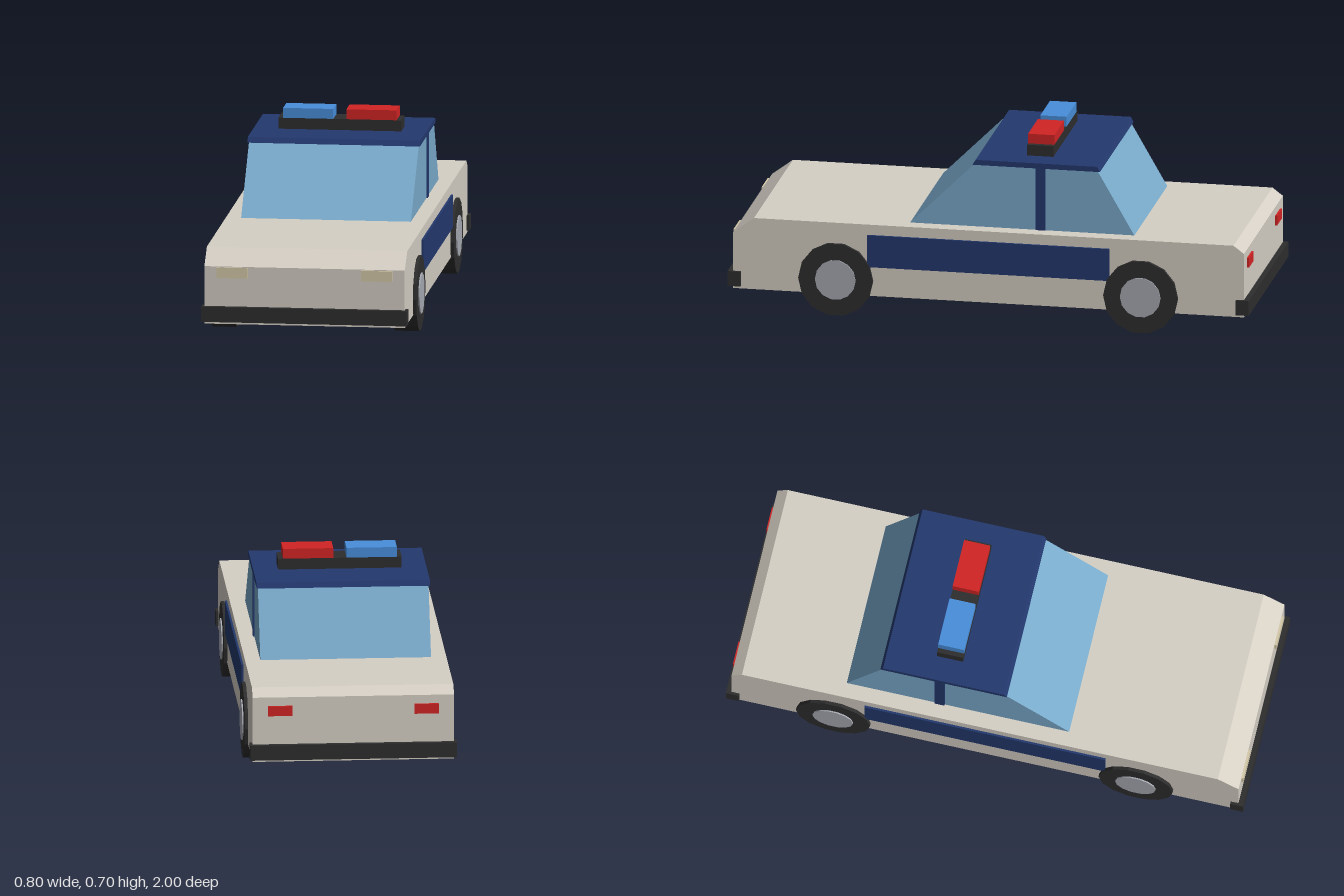
import * as THREE from 'three';

const mat = (name, color) => {
  const m = new THREE.MeshStandardMaterial({ color });
  m.name = name;
  return m;
};

export function createModel() {
  const car = new THREE.Group();
  car.name = 'patrolCar';

  const cream = mat('creamPaint', 0xd6d0c5);
  const navy = mat('navyPaint', 0x23386e);
  const glass = mat('windowGlass', 0x7aabcc);
  const black = mat('blackRubber', 0x2e2e2e);
  const steel = mat('hubSteel', 0xa8abb4);
  const lampCream = mat('headlightCream', 0xd6caa8);
  const red = mat('redLamp', 0xd32424);
  const blue = mat('blueLamp', 0x488edb);

  const add = (name, geometry, material) => {
    const mesh = new THREE.Mesh(geometry, material);
    mesh.name = name;
    car.add(mesh);
    return mesh;
  };

  // Box given by its limits on each axis
  const box = (name, material, [x0, x1], [y0, y1], [z0, z1]) =>
    add(name, new THREE.BoxGeometry(x1 - x0, y1 - y0, z1 - z0), material)
      .position.set((x0 + x1) / 2, (y0 + y1) / 2, (z0 + z1) / 2);

  // Side profile of [z, y] points, extruded across the car's width
  const slab = (name, material, halfWidth, points) => {
    const shape = new THREE.Shape(points.map(([z, y]) => new THREE.Vector2(z, y)));
    const geometry = new THREE.ExtrudeGeometry(shape, { depth: 2 * halfWidth, bevelEnabled: false });
    geometry.rotateY(-Math.PI / 2).translate(halfWidth, 0, 0);
    add(name, geometry, material);
  };

  // Body with sloped nose and tail edges
  slab('body', cream, 0.38, [
    [0.98, 0.08], [0.98, 0.3], [0.9, 0.36], [-0.94, 0.36], [-0.98, 0.33], [-0.98, 0.08],
  ]);

  // Glass cabin, roof and centre pillars
  slab('cabinGlass', glass, 0.322, [[0.312, 0.36], [0.068, 0.603], [-0.408, 0.603], [-0.548, 0.36]]);
  slab('roof', navy, 0.327, [[0.072, 0.603], [0.06, 0.623], [-0.407, 0.623], [-0.417, 0.603]]);
  box('centrePillars', navy, [-0.327, 0.327], [0.36, 0.604], [-0.207, -0.169]);

  // Roof light bar
  const barZ = [-0.22, -0.119];
  box('lightBarBase', black, [-0.233, 0.233], [0.623, 0.665], barZ);
  box('blueBeacon', blue, [-0.215, -0.025], [0.665, 0.703], barZ);
  box('redBeacon', red, [0.025, 0.215], [0.665, 0.703], barZ);

  // Bumpers
  box('frontBumper', black, [-0.39, 0.39], [0.09, 0.148], [0.95, 1]);
  box('rearBumper', black, [-0.39, 0.39], [0.09, 0.148], [-1, -0.95]);

  // Wheels are 14-sided with a flat facet on the ground
  const disc = (radius, width) =>
    new THREE.CylinderGeometry(radius, radius, width, 14).toNonIndexed().rotateZ(Math.PI / 2);
  const tyre = disc(0.143, 0.093);
  const hub = disc(0.078, 0.02);
  tyre.computeVertexNormals();
  hub.computeVertexNormals();

  for (const [side, s] of [['left', 1], ['right', -1]]) {
    const span = (a, b) => (s > 0 ? [a, b] : [-b, -a]);
    box(`${side}DoorPanel`, navy, span(0.375, 0.388), [0.195, 0.32], [-0.465, 0.465]);
    box(`${side}Headlight`, lampCream, span(0.215, 0.333), [0.257, 0.297], [0.97, 0.988]);
    box(`${side}Taillight`, red, span(0.23, 0.322), [0.259, 0.297], [-0.988, -0.97]);
    for (const [end, z] of [['Front', 0.585], ['Rear', -0.585]]) {
      add(`${side}${end}Tyre`, tyre, black).position.set(s * 0.3465, 0.1395, z);
      add(`${side}${end}Hub`, hub, steel).position.set(s * 0.388, 0.1395, z);
    }
  }
  return car;
}
